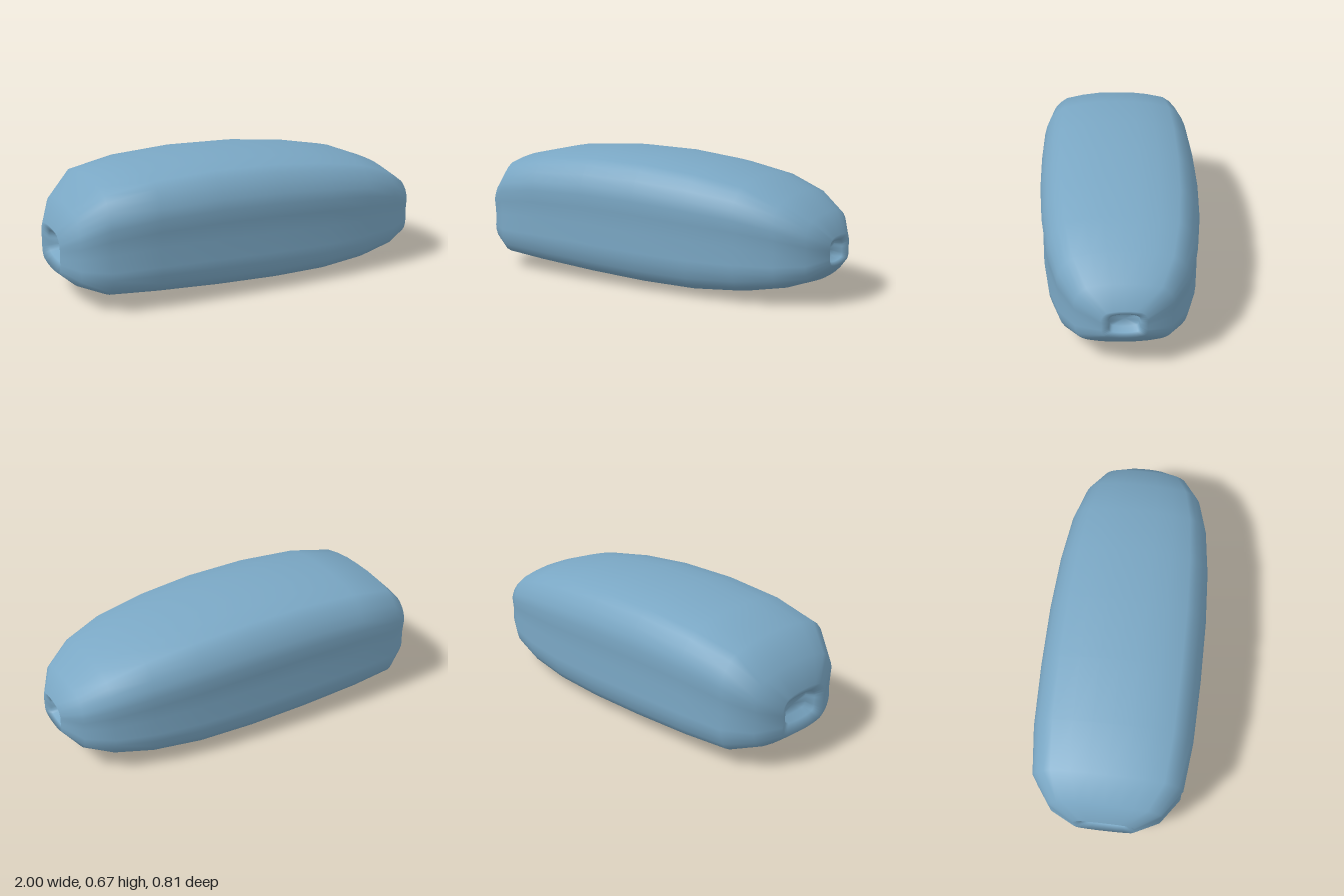
import * as THREE from 'three';

// Half cross-section from bottom centre to top centre: [half width 0..1, height 0..1]
const HALF = [
  [0, 0], [0.25, 0.005], [0.49, 0.02], [0.72, 0.05], [0.81, 0.07], [0.885, 0.1],
  [0.94, 0.155], [0.975, 0.23], [0.985, 0.3], [0.97, 0.45], [0.985, 0.58], [1, 0.68],
  [0.97, 0.755], [0.92, 0.83], [0.835, 0.895], [0.74, 0.94], [0.49, 0.977], [0.25, 0.997], [0, 1],
];
const RING = [...HALF, ...HALF.slice(1, -1).reverse().map(([w, h]) => [-w, h])];

// Stations along the body: [x, bottom, top, half width]; the ends turn inward to form the dents
const STATIONS = [
  [-0.93, 0.215, 0.31, 0.1], [-0.975, 0.2, 0.33, 0.11],
  [-1, 0.155, 0.37, 0.157], [-0.935, 0.1, 0.485, 0.285], [-0.81, 0.05, 0.605, 0.375],
  [-0.57, 0.033, 0.655, 0.4], [-0.25, 0.014, 0.677, 0.407], [0.07, 0.003, 0.67, 0.405],
  [0.36, 0.004, 0.64, 0.39], [0.61, 0.027, 0.593, 0.36], [0.8, 0.065, 0.52, 0.31],
  [0.93, 0.112, 0.43, 0.23], [1, 0.185, 0.33, 0.108],
  [0.98, 0.2, 0.3, 0.073], [0.94, 0.208, 0.295, 0.068],
];

function loftGeometry(stations) {
  const n = RING.length;
  const positions = [];
  const index = [];
  for (const [x, bottom, top, half] of stations) {
    for (const [w, h] of RING) positions.push(x, bottom + (top - bottom) * h, half * w);
  }
  for (let i = 0; i < stations.length - 1; i++) {
    for (let j = 0; j < n; j++) {
      const k = (j + 1) % n;
      const a = i * n + j, b = (i + 1) * n + j, c = (i + 1) * n + k, d = i * n + k;
      index.push(a, b, d, b, c, d);
    }
  }
  // Close the floor of each dent with a fan
  const last = (stations.length - 1) * n;
  const start = stations.length * n, end = start + 1;
  for (const s of [stations[0], stations[stations.length - 1]]) positions.push(s[0], (s[1] + s[2]) / 2, 0);
  for (let j = 0; j < n; j++) {
    const k = (j + 1) % n;
    index.push(start, j, k, last + j, end, last + k);
  }
  const geometry = new THREE.BufferGeometry();
  geometry.setAttribute('position', new THREE.Float32BufferAttribute(positions, 3));
  geometry.setIndex(index);
  geometry.computeVertexNormals();
  return geometry;
}

export function createModel() {
  const group = new THREE.Group();
  group.name = 'pod';
  const shell = new THREE.Mesh(
    loftGeometry(STATIONS),
    new THREE.MeshStandardMaterial({ color: 0x7aa7c4 }),
  );
  shell.name = 'bodyShell';
  group.add(shell);
  return group;
}
